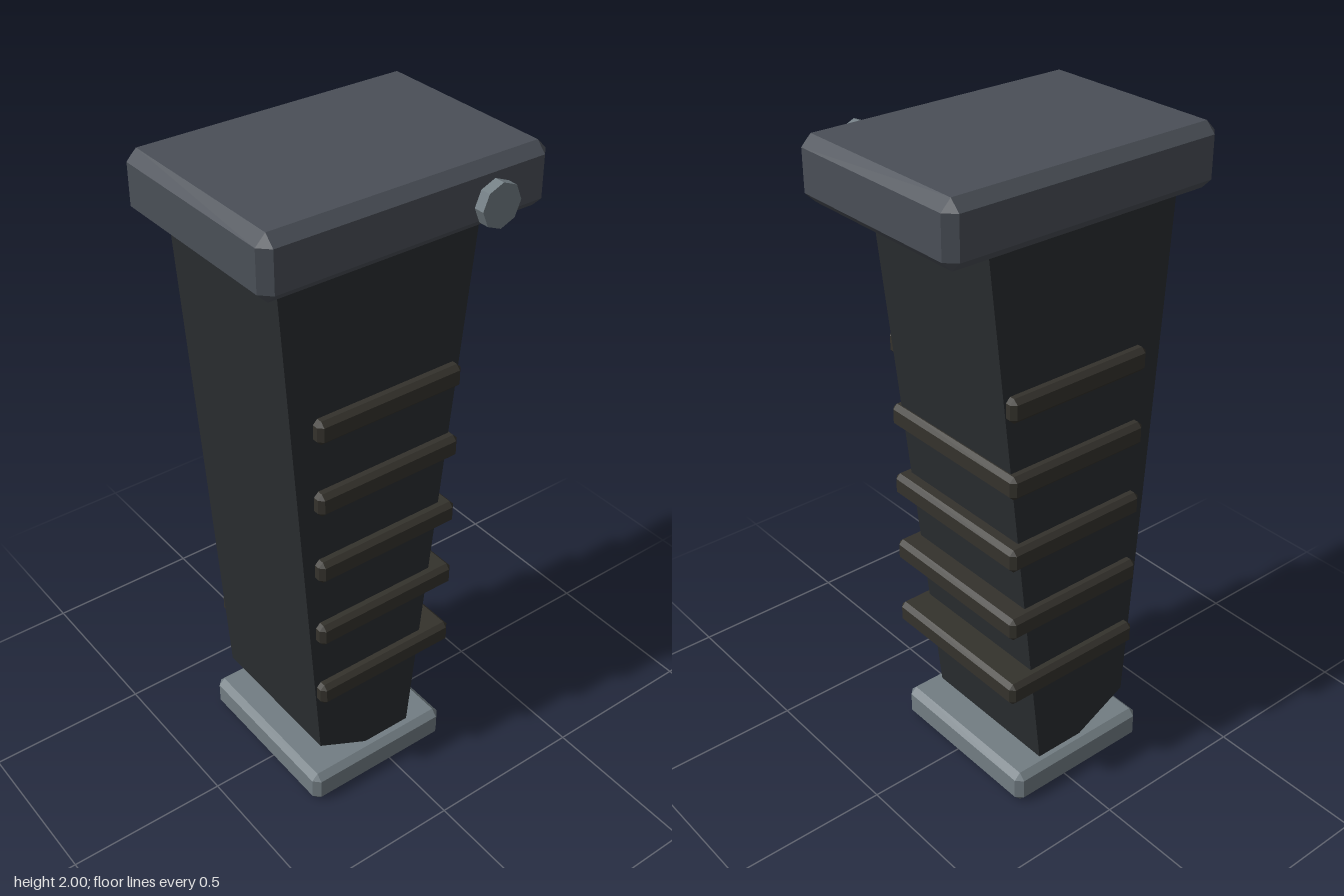
import * as THREE from 'three';
import { ConvexGeometry } from 'three/addons/geometries/ConvexGeometry.js';

const material = (color) => new THREE.MeshStandardMaterial({ color, flatShading: true });

// Box with every edge chamfered by b, given by its [min, max] along each axis
function chamferBox(x, y, z, b) {
  const half = [x, y, z].map(([lo, hi]) => (hi - lo) / 2);
  const mid = [x, y, z].map(([lo, hi]) => (hi + lo) / 2);
  const points = [];
  for (const sx of [-1, 1]) for (const sy of [-1, 1]) for (const sz of [-1, 1])
    for (let axis = 0; axis < 3; axis++) {
      const p = [sx, sy, sz].map((s, i) => mid[i] + s * (half[i] - (i === axis ? 0 : b)));
      points.push(new THREE.Vector3(...p));
    }
  return new ConvexGeometry(points);
}

export function createModel() {
  const model = new THREE.Group();
  model.name = 'grip';
  const add = (name, geometry, mat) => {
    const mesh = new THREE.Mesh(geometry, mat);
    mesh.name = name;
    model.add(mesh);
    return mesh;
  };

  const capMat = material(0x4a4f57);
  const bodyMat = material(0x2a2d30);
  const ribMat = material(0x34322c);
  const metalMat = material(0x727d83);

  // Tapered handle: side profile in (z, y), extruded across the width
  const profile = new THREE.Shape(
    [[0.04, 0.09], [0.25, 0.2], [0.36, 1.83], [-0.276, 1.83], [-0.083, 0.09]]
      .map(([z, y]) => new THREE.Vector2(z, y)));
  const body = new THREE.ExtrudeGeometry(profile, { depth: 0.48, bevelEnabled: false });
  body.rotateY(-Math.PI / 2).translate(0.205, 0, 0);
  add('handle', body, bodyMat);

  // Top mounting block and bottom plate
  add('topBlock', chamferBox([-0.343, 0.279], [1.82, 2], [-0.443, 0.443], 0.03), capMat);
  add('basePlate', chamferBox([-0.311, 0.244], [0.005, 0.11], [-0.197, 0.297], 0.02), metalMat);

  // Grip ribs wrapping the sides and back
  for (let i = 0; i < 5; i++) {
    const y = 0.432 + i * 0.2335;
    add(`gripRib${i + 1}`, chamferBox([-0.305, 0.236], [y - 0.036, y + 0.036], [-0.22, 0.26], 0.014), ribMat);
  }

  // Octagonal release button beside the top block
  const button = new THREE.CylinderGeometry(0.062, 0.062, 0.031, 8);
  button.rotateZ(Math.PI / 2).translate(0.325, 1.911, -0.22);
  add('releaseButton', button, metalMat);

  return model;
}
